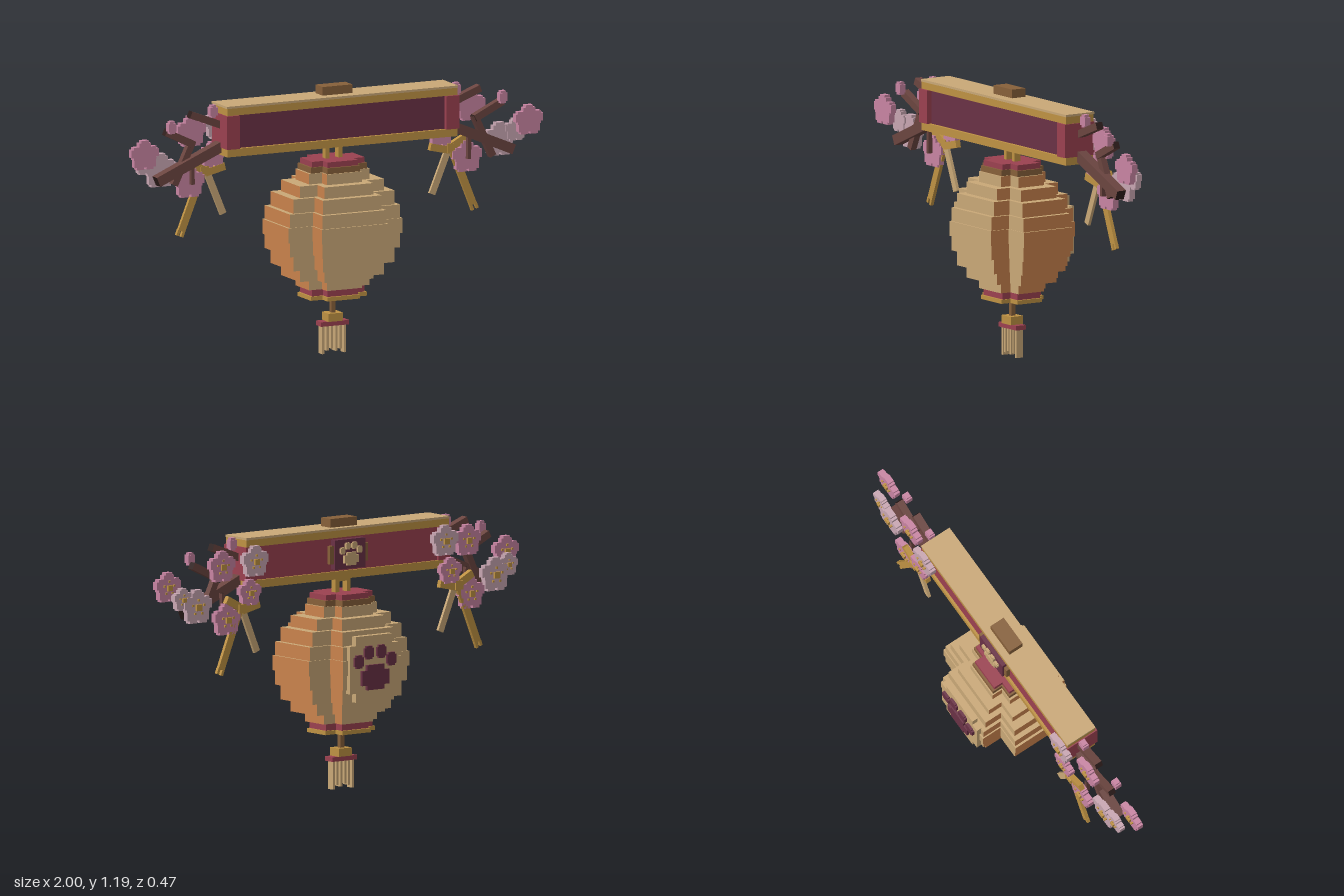
import * as THREE from 'three';

const mat = (name, color) => {
  const m = new THREE.MeshStandardMaterial({ color });
  m.name = name;
  return m;
};

export function createModel() {
  const tan = mat('tan', 0xc9a877), orange = mat('orange', 0xc9824c), gold = mat('gold', 0xbf9243);
  const red = mat('red', 0x9b4150), plum = mat('plum', 0x6a3145), brown = mat('brown', 0x87603a);
  const bark = mat('bark', 0x6b4540), darkBark = mat('darkBark', 0x2e1e1c);
  const pink = mat('pink', 0xc884a2), lilac = mat('lilac', 0xc8a6b2);

  const root = new THREE.Group();
  root.name = 'hangingLantern';
  const group = (name, parent = root) => {
    const g = new THREE.Group();
    g.name = name;
    parent.add(g);
    return g;
  };

  // Box given by centre and size
  const box = (parent, name, m, x, y, z, w, h, d) => {
    const mesh = new THREE.Mesh(new THREE.BoxGeometry(w, h, d), m);
    mesh.name = name;
    mesh.position.set(x, y, z);
    parent.add(mesh);
    return mesh;
  };
  // Box running between two points in the xy plane
  const bar = (parent, name, m, [x1, y1], [x2, y2], z, thick, depth) => {
    const b = box(parent, name, m, (x1 + x2) / 2, (y1 + y2) / 2, z,
      Math.hypot(x2 - x1, y2 - y1), thick, depth);
    b.rotation.z = Math.atan2(y2 - y1, x2 - x1);
    return b;
  };
  // Two crossed boxes forming a stepped, rounded slab
  const ZC = 0.013;
  const slab = (parent, name, m, y0, y1, hw, hd) => {
    const y = (y0 + y1) / 2, h = y1 - y0;
    box(parent, name, m, 0, y, ZC, hw * 2, h, hd * 1.16);
    box(parent, name, m, 0, y, ZC, hw * 1.16, h, hd * 2);
  };

  // Lantern body: stacked stepped slabs
  const lantern = group('lantern');
  const shade = [orange, orange, tan, brown, tan, tan];
  const heights = [0.3, 0.346, 0.4, 0.466, 0.53, 0.596, 0.656, 0.719, 0.77, 0.817];
  const halfW = [0.147, 0.205, 0.246, 0.268, 0.278];
  const halfD = [0.117, 0.161, 0.194, 0.214, 0.221];
  for (let i = 0; i < 9; i++) {
    const k = Math.min(i, 8 - i);
    slab(lantern, 'lanternLayer', shade, heights[i], heights[i + 1], halfW[k], halfD[k]);
  }
  slab(lantern, 'bottomRim', gold, 0.252, 0.27, 0.137, 0.111);
  slab(lantern, 'bottomBand', red, 0.27, 0.3, 0.128, 0.101);
  slab(lantern, 'topCollar', brown, 0.817, 0.843, 0.137, 0.111);
  slab(lantern, 'topBand', red, 0.843, 0.867, 0.128, 0.101);

  // Hanger between beam and lantern
  const hanger = group('hanger');
  for (const s of [-1, 1]) box(hanger, 'hangerPost', gold, s * 0.031, 0.9, ZC, 0.02, 0.07, 0.03);
  box(hanger, 'hangerBar', gold, 0, 0.922, ZC, 0.082, 0.016, 0.03);

  // Paw print facing the back: one pad and four toes
  const paw = (parent, m, y, z, s, depth) => {
    box(parent, 'pawPad', m, 0, y, z, 0.15 * s, 0.065 * s, depth);
    box(parent, 'pawPad', m, 0, y + 0.002 * s, z, 0.095 * s, 0.11 * s, depth);
    for (const [x, dy] of [[-0.09, 0.075], [-0.034, 0.112], [0.034, 0.112], [0.09, 0.075]]) {
      box(parent, 'pawToe', m, x * s, y + dy * s, z, 0.05 * s, 0.04 * s, depth);
      box(parent, 'pawToe', m, x * s, y + dy * s, z, 0.033 * s, 0.058 * s, depth);
    }
  };
  const plaque = group('lanternPlaque');
  box(plaque, 'plaquePlate', tan, 0, 0.555, -0.208, 0.2, 0.29, 0.028);
  box(plaque, 'plaquePlate', tan, 0, 0.555, -0.208, 0.27, 0.21, 0.028);
  paw(plaque, plum, 0.515, -0.228, 1, 0.012);

  // Tassel
  const tassel = group('tassel');
  box(tassel, 'cord', brown, 0, 0.215, ZC, 0.02, 0.08, 0.022);
  box(tassel, 'knot', gold, 0, 0.162, ZC, 0.072, 0.036, 0.064);
  box(tassel, 'tasselBand', red, 0, 0.134, ZC, 0.136, 0.02, 0.052);
  [0, 0.014, 0.022, 0.01, 0.018, 0].forEach((y0, i) =>
    box(tassel, 'strand', tan, -0.053 + i * 0.0212, (y0 + 0.13) / 2, ZC, 0.011, 0.13 - y0, 0.035));

  // Beam
  const beam = group('beam');
  const BZ = 0.0375;
  box(beam, 'beamCore', [red, red, red, red, plum, red], 0, 1.045, 0.036, 1.02, 0.17, 0.122);
  box(beam, 'lowerRail', gold, 0, 0.9475, BZ, 1.12, 0.035, 0.146);
  box(beam, 'upperRail', gold, 0, 1.129, BZ, 1.12, 0.032, 0.146);
  box(beam, 'topBoard', tan, 0, 1.15, BZ, 1.125, 0.01, 0.15);
  box(beam, 'topBlock', brown, 0, 1.174, 0.028, 0.145, 0.038, 0.069);
  for (const s of [-1, 1]) box(beam, 'endCap', red, s * 0.534, 1.039, 0.042, 0.062, 0.148, 0.156);

  // Medallion on the back of the beam
  const medallion = group('medallion');
  box(medallion, 'medallionFrame', brown, 0, 1.04, -0.034, 0.21, 0.08, 0.022);
  box(medallion, 'medallionPlate', plum, 0, 1.04, -0.038, 0.17, 0.13, 0.03);
  paw(medallion, tan, 1.018, -0.058, 0.52, 0.012);

  // Blossom: five stepped petals with a gold centre on the back
  const blossom = (parent, m, x, y, z, r) => {
    const g = group('blossom', parent);
    g.position.set(x, y, z);
    for (let i = 0; i < 5; i++) {
      const a = Math.PI / 2 + i * Math.PI * 0.4;
      const px = Math.cos(a) * r * 0.6, py = Math.sin(a) * r * 0.6;
      box(g, 'petal', m, px, py, 0, r * 0.86, r * 0.54, 0.028);
      box(g, 'petal', m, px, py, 0, r * 0.54, r * 0.86, 0.028);
      box(g, 'stamen', gold, px * 0.72, py * 0.72, -0.016, r * 0.13, r * 0.13, 0.008);
    }
    box(g, 'blossomCentre', m, 0, 0, 0, r * 0.7, r * 0.7, 0.028);
    box(g, 'blossomHeart', gold, 0, 0, -0.017, r * 0.38, r * 0.38, 0.014);
  };
  const bud = (parent, m, x, y, z) => {
    box(parent, 'bud', m, x, y, z, 0.036, 0.036, 0.03);
    box(parent, 'bud', m, x, y, z, 0.024, 0.056, 0.024);
  };

  // Flowering branches and ribbon on each end of the beam
  const wood = [darkBark, darkBark, bark, bark, bark, bark];
  for (const s of [-1, 1]) {
    const spray = group(s > 0 ? 'leftSpray' : 'rightSpray');
    const p = (x, y) => [s * x, y];
    bar(spray, 'mainBranch', wood, p(0.55, 0.97), p(0.865, 0.835), 0.03, 0.045, 0.045);
    bar(spray, 'upperBranch', wood, p(0.55, 1.06), p(0.705, 1.12), 0.032, 0.032, 0.035);
    bar(spray, 'outerTwig', wood, p(0.685, 0.985), p(0.82, 1.05), 0.022, 0.032, 0.032);
    bar(spray, 'crossTwig', wood, p(0.775, 0.81), p(0.685, 1.0), 0.016, 0.03, 0.03);
    bar(spray, 'lowerTwig', wood, p(0.675, 0.92), p(0.672, 0.8), -0.008, 0.016, 0.02);

    blossom(spray, pink, s * 0.935, 0.96, 0.048, 0.066);
    blossom(spray, lilac, s * 0.825, 0.872, -0.018, 0.075);
    blossom(spray, lilac, s * 0.9, 0.91, -0.012, 0.05);
    blossom(spray, pink, s * 0.675, 0.805, -0.036, 0.07);
    blossom(spray, pink, s * 0.68, 1.035, -0.008, 0.068);
    blossom(spray, pink, s * 0.555, 0.915, -0.046, 0.058);
    blossom(spray, lilac, s * 0.525, 1.05, -0.046, 0.068);
    bud(spray, pink, s * 0.592, 1.125, 0.03);
    bud(spray, pink, s * 0.805, 1.075, 0.055);

    // Bow with two tails
    const ribbon = group('ribbon', spray);
    bar(ribbon, 'bowLoop', gold, p(0.605, 0.855), p(0.68, 0.895), -0.042, 0.034, 0.024);
    bar(ribbon, 'bowLoop', gold, p(0.595, 0.84), p(0.5, 0.862), -0.042, 0.032, 0.024);
    box(ribbon, 'bowKnot', gold, s * 0.6, 0.85, -0.045, 0.04, 0.04, 0.032);
    bar(ribbon, 'longTail', gold, p(0.605, 0.85), p(0.71, 0.59), -0.042, 0.034, 0.016);
    for (const k of [-0.011, 0.011])
      bar(ribbon, 'tailTip', gold, p(0.71 + k, 0.592 + k * 0.4), p(0.719 + k, 0.568 + k * 0.4), -0.042, 0.012, 0.016);
    bar(ribbon, 'shortTail', tan, p(0.59, 0.85), p(0.508, 0.652), -0.038, 0.03, 0.014);
  }
  return root;
}
